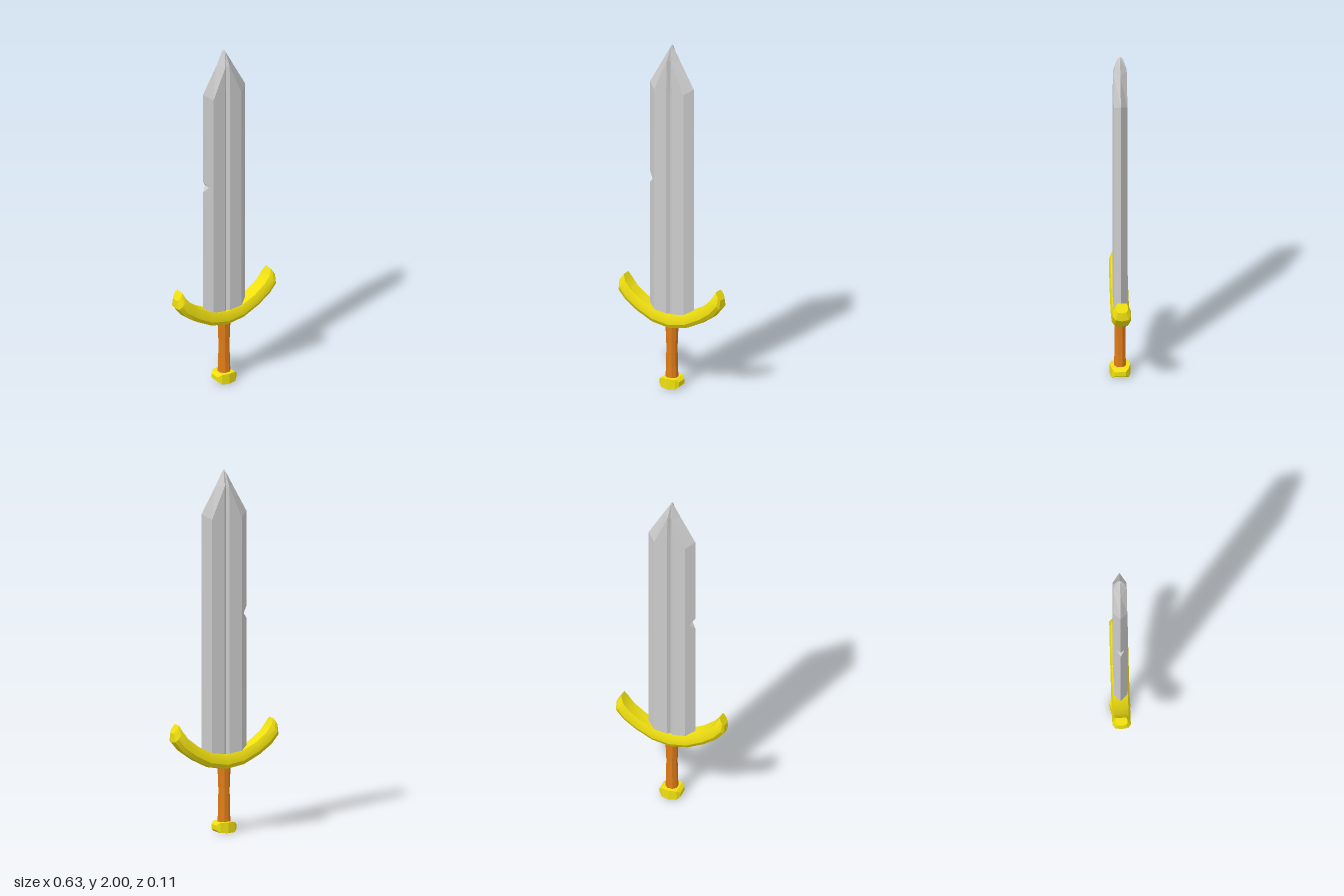
import * as THREE from 'three';
import { toCreasedNormals } from 'three/addons/utils/BufferGeometryUtils.js';

const steel = new THREE.MeshStandardMaterial({ color: 0xcccccc, flatShading: true });
const gold = new THREE.MeshStandardMaterial({ color: 0xf0e010 });
const goldFlat = new THREE.MeshStandardMaterial({ color: 0xf0e010, flatShading: true });
const leather = new THREE.MeshStandardMaterial({ color: 0xe07c18, flatShading: true });

// Skins a row of equal-length rings of [x, y, z] points and closes both ends
function loft(rings) {
  const tris = [];
  const add = (...p) => {
    const [a, b, c] = p.map(q => new THREE.Vector3(...q));
    const area = b.clone().sub(a).cross(c.clone().sub(a)).length();
    if (area > 1e-7) tris.push([a, b, c]);
  };
  const n = rings[0].length;
  for (let i = 0; i < rings.length - 1; i++) {
    for (let j = 0; j < n; j++) {
      const k = (j + 1) % n, r = rings[i], s = rings[i + 1];
      add(r[j], r[k], s[k]);
      add(r[j], s[k], s[j]);
    }
  }
  const cap = (r, flip) => {
    const mid = [0, 1, 2].map(a => r.reduce((t, p) => t + p[a], 0) / n);
    r.forEach((p, j) => {
      const q = r[(j + 1) % n];
      flip ? add(mid, q, p) : add(mid, p, q);
    });
  };
  cap(rings[0], true);
  cap(rings[rings.length - 1], false);
  // Turn the whole skin outward if its enclosed volume is negative
  const volume = tris.reduce((v, [a, b, c]) => v + a.dot(b.clone().cross(c)), 0);
  if (volume < 0) tris.forEach(t => t.reverse());
  const geo = new THREE.BufferGeometry().setFromPoints(tris.flat());
  geo.computeVertexNormals();
  return geo;
}

// One blade ring from edge, bevel, groove lip and groove floor points;
// the -x edge is doubled so that a nick can open it
function bladeRing(edge, bevel, lip, floor, nick = edge) {
  const m = ([x, y, z], sx, sz) => [x * sx, y, z * sz];
  return [
    edge, bevel, lip, floor, m(lip, -1, 1), m(bevel, -1, 1), m(nick, -1, 1),
    m(nick, -1, -1), m(bevel, -1, -1), m(lip, -1, -1), m(floor, 1, -1), m(lip, 1, -1), m(bevel, 1, -1),
  ];
}

function makeBlade() {
  const row = (y, edgeY = y, nick) =>
    bladeRing([0.135, edgeY, 0], [0.09, y, 0.037], [0.016, y, 0.037], [0, y, 0.022], nick);
  return loft([
    row(0.39),
    row(1.17),
    row(1.2, 1.2, [0.108, 1.2, 0.022]), // nick in the edge
    row(1.235),
    row(1.73, 1.76),
    bladeRing([0.05, 1.911, 0], [0.013, 1.91, 0.037], [0.013, 1.91, 0.037], [0, 1.91, 0.022]),
    bladeRing([0.007, 1.988, 0], [0.003, 1.985, 0.014], [0.003, 1.985, 0.014], [0, 1.985, 0.011]),
    bladeRing([0, 2, 0], [0, 2, 0], [0, 2, 0], [0, 2, 0]),
  ]);
}

function makeGuard() {
  // Half of the crescent: inner x, y, outer x, y, width factor
  const half = [
    [0, 0.432, 0, 0.345, 1],
    [0.09, 0.445, 0.105, 0.364, 1],
    [0.17, 0.485, 0.2, 0.412, 1],
    [0.235, 0.535, 0.272, 0.463, 1],
    [0.268, 0.577, 0.315, 0.515, 1],
    [0.284, 0.61, 0.314, 0.565, 0.65],
  ];
  const mirrored = half.slice(1).reverse().map(([a, b, c, d, w]) => [-a, b, -c, d, w]);
  // Cross-section: z and position between the inner and outer curve
  const section = [
    [0.04, 0], [0.05, 0.3], [0.05, 0.65], [0.036, 0.92], [0, 1],
    [-0.036, 0.92], [-0.05, 0.65], [-0.05, 0.3], [-0.04, 0],
  ];
  const rings = [...mirrored, ...half].map(([ix, iy, ox, oy, w]) =>
    section.map(([z, t]) => [ix + (ox - ix) * t, iy + (oy - iy) * t, z * w]));
  return toCreasedNormals(loft(rings), 0.5);
}

function makePommel() {
  // Chamfered block: x, half depth, half height
  const stations = [
    [-0.06, 0.03, 0.013], [-0.043, 0.046, 0.028], [0, 0.056, 0.03],
    [0.043, 0.046, 0.028], [0.06, 0.03, 0.013],
  ];
  return loft(stations.map(([x, d, h]) =>
    [[d, h], [-d, h], [-d, -h], [d, -h]].map(([z, y]) => [x, 0.03 + y, z])));
}

export function createModel() {
  const model = new THREE.Group();
  model.name = 'sword';
  const add = (name, geometry, material) => {
    const mesh = new THREE.Mesh(geometry, material);
    mesh.name = name;
    model.add(mesh);
  };

  add('blade', makeBlade(), steel);
  add('guard', makeGuard(), gold);
  add('pommel', makePommel(), goldFlat);

  // Waisted eight-sided grip
  const profile = [[0, 0.045], [0.036, 0.045], [0.032, 0.13], [0.031, 0.24], [0.036, 0.37], [0, 0.37]];
  add('grip', new THREE.LatheGeometry(profile.map(p => new THREE.Vector2(...p)), 8, Math.PI / 8), leather);

  return model;
}
